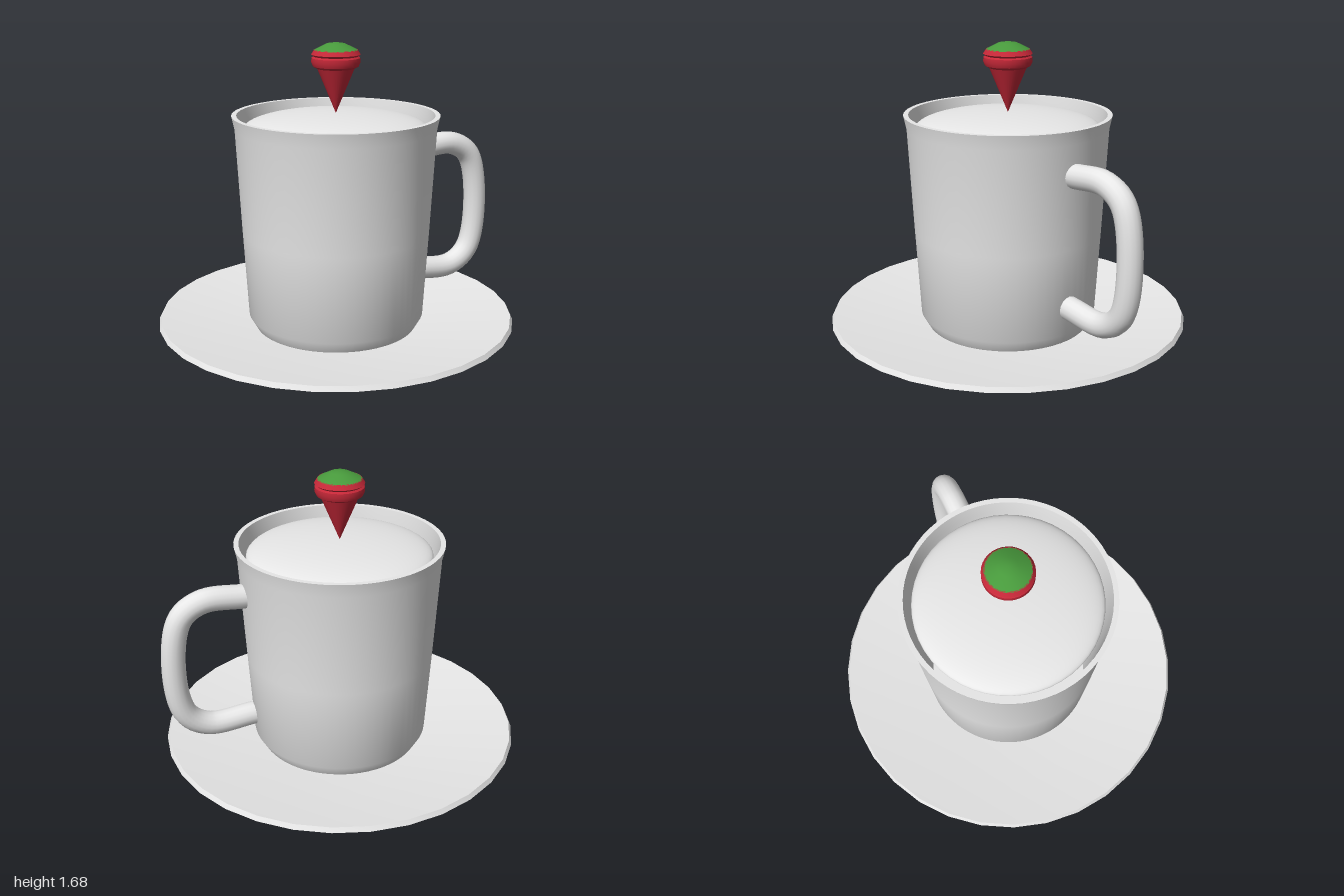
import * as THREE from 'three';
import { toCreasedNormals } from 'three/addons/utils/BufferGeometryUtils.js';

const china = new THREE.MeshStandardMaterial({ color: 0xeeeeee });
china.name = 'white china';
const red = new THREE.MeshStandardMaterial({ color: 0xc62838 });
red.name = 'berry red';
const green = new THREE.MeshStandardMaterial({ color: 0x489a3c });
green.name = 'leaf green';

// Turned part from [radius, height] pairs, with sharp corners kept
function turned(name, profile, sides, material, crease = 0.6) {
  const points = profile.map(([r, y]) => new THREE.Vector2(r, y));
  const geometry = toCreasedNormals(new THREE.LatheGeometry(points, sides), crease);
  const mesh = new THREE.Mesh(geometry, material);
  mesh.name = name;
  return mesh;
}

function createHandle() {
  const handle = new THREE.Group();
  handle.name = 'handle';
  const radius = 0.065;
  const path = new THREE.CatmullRomCurve3([
    [0.53, 1.055], [0.76, 1.06], [0.88, 0.98], [0.935, 0.69],
    [0.89, 0.41], [0.77, 0.32], [0.51, 0.33],
  ].map(([x, y]) => new THREE.Vector3(x, y, 0)));
  const tube = new THREE.Mesh(new THREE.TubeGeometry(path, 48, radius, 16), china);
  tube.name = 'handleTube';
  handle.add(tube);
  // Flat ends of the tube
  for (const t of [0, 1]) {
    const cap = new THREE.Mesh(new THREE.CircleGeometry(radius, 16), china);
    cap.name = 'handleEnd';
    cap.position.copy(path.getPointAt(t));
    const outward = path.getTangentAt(t).multiplyScalar(t ? 1 : -1);
    cap.quaternion.setFromUnitVectors(new THREE.Vector3(0, 0, 1), outward);
    handle.add(cap);
  }
  return handle;
}

export function createModel() {
  const model = new THREE.Group();
  model.name = 'cupAndSaucer';

  // Saucer: flat foot, flared underside, shallow dish on top
  model.add(turned('saucer', [
    [0, 0], [0.6, 0], [0.615, 0.04], [0.993, 0.15], [0.98, 0.175], [0.45, 0.105], [0, 0.105],
  ], 32, china, 0.3));

  // Cup: tapered wall with a small lip, hollow inside
  model.add(turned('cup', [
    [0, 0.1], [0.45, 0.1], [0.49, 0.17], [0.517, 0.65], [0.546, 1.22], [0.562, 1.295],
    [0.535, 1.295], [0.525, 1.22], [0.505, 0.9], [0.46, 0.2], [0, 0.2],
  ], 64, china, 0.7));

  // Domed filling
  const filling = new THREE.Mesh(new THREE.SphereGeometry(0.5, 48, 32), china);
  filling.name = 'filling';
  filling.scale.y = 0.17;
  filling.position.y = 1.218;
  model.add(filling);

  model.add(createHandle());

  // Pointed berry with a rolled shoulder
  model.add(turned('berry', [
    [0, 1.3], [0.1, 1.54], [0.122, 1.552], [0.132, 1.575], [0.13, 1.597], [0.12, 1.605],
    [0.132, 1.615], [0.115, 1.64], [0, 1.642],
  ], 32, red));

  // Leafy cap
  model.add(turned('leafCap', [
    [0, 1.636], [0.118, 1.638], [0.05, 1.672], [0, 1.68],
  ], 24, green));

  return model;
}
